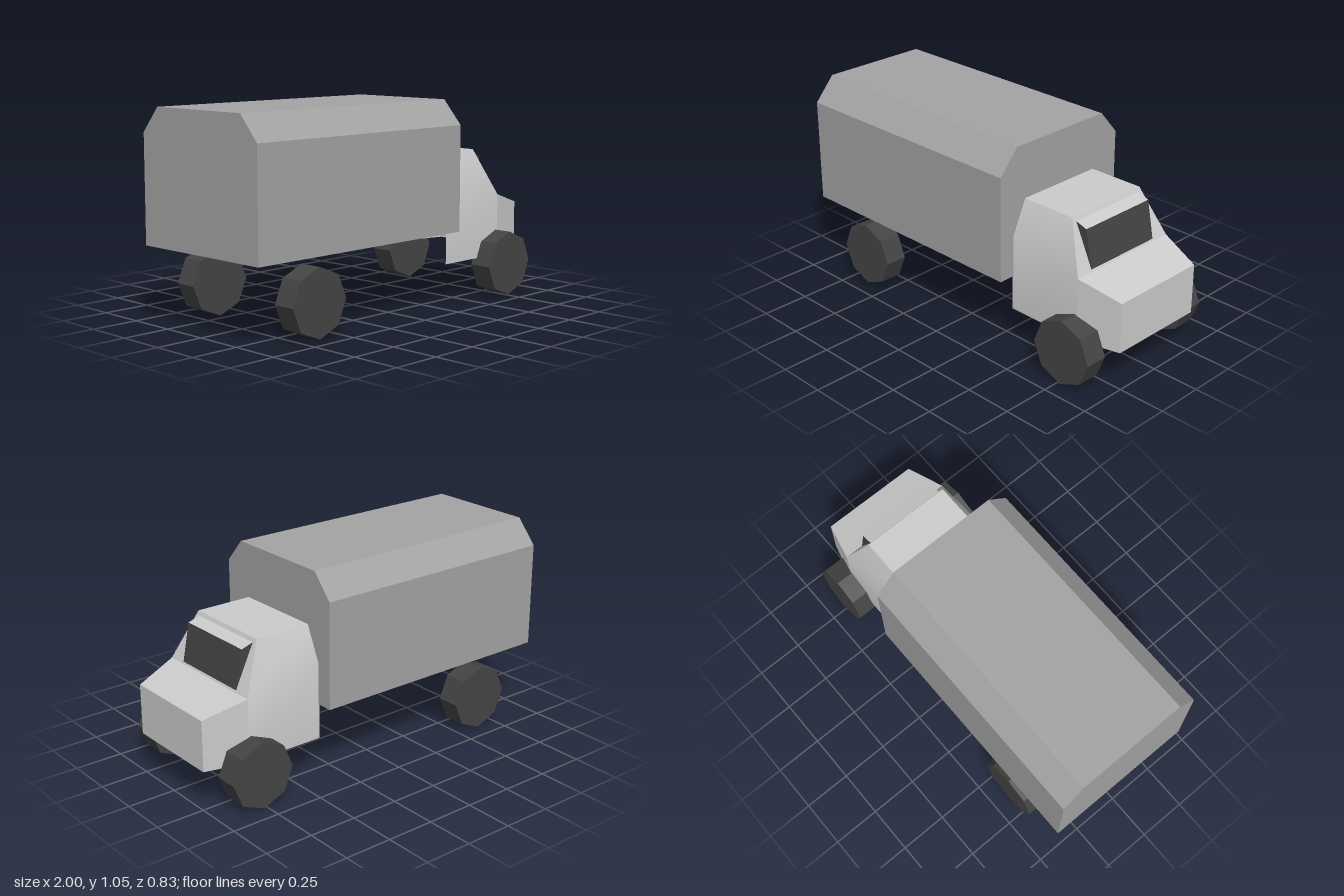
import * as THREE from 'three';
import { toCreasedNormals } from 'three/addons/utils/BufferGeometryUtils.js';

const BODY = 0xa3a3a3, CAB = 0xcccccc, DARK = 0x444444;

// Mirror a face across z = 0, keeping it facing outward
const mirror = (face) => face.map(([x, y, z]) => [x, y, -z]).reverse();
const both = (...faces) => faces.flatMap((f) => [f, mirror(f)]);

// Face spanning the full width: edge a to edge b, each [x, y, halfWidth]
const span = (a, b) => [a, b, [b[0], b[1], -b[2]], [a[0], a[1], -a[2]]];

// Sheet-metal mesh from convex faces
function panels(name, faces, color) {
  const pos = [];
  for (const f of faces)
    for (let i = 1; i < f.length - 1; i++) pos.push(...f[0], ...f[i], ...f[i + 1]);
  const g = new THREE.BufferGeometry();
  g.setAttribute('position', new THREE.Float32BufferAttribute(pos, 3));
  const mesh = new THREE.Mesh(
    toCreasedNormals(g, 0.5),
    new THREE.MeshStandardMaterial({ color, side: THREE.DoubleSide })
  );
  mesh.name = name;
  return mesh;
}

// Cargo box: chamfered roof, closed ends, open underneath
function cargoBox() {
  const x0 = -1, x1 = 0.365;
  const profile = [[0.405, 0.385], [0.405, 0.93], [0.295, 1.055],
    [-0.295, 1.055], [-0.405, 0.93], [-0.405, 0.385]];
  const at = (x) => profile.map(([z, y]) => [x, y, z]);
  const rear = at(x0), front = at(x1);
  const faces = [rear, [...front].reverse()];
  for (let i = 0; i < profile.length - 1; i++)
    faces.push([rear[i], front[i], front[i + 1], rear[i + 1]]);
  return panels('cargoBox', faces, BODY);
}

function cab() {
  const group = new THREE.Group();
  group.name = 'cab';
  const rearLow = [0.36, 0.205, 0.32], rearMid = [0.36, 0.6, 0.32], rearTop = [0.36, 0.775, 0.24];
  const roofFront = [0.665, 0.775, 0.24], cowl = [0.78, 0.53, 0.32], cowlLow = [0.78, 0.205, 0.32];
  const noseTop = [1, 0.465, 0.265], noseLow = [1, 0.205, 0.265];
  const glassLow = [0.775, 0.54, 0.222], glassTop = [0.737, 0.735, 0.222], lipBack = [0.674, 0.755, 0.222];

  group.add(panels('cabShell', [
    ...both([rearLow, cowlLow, cowl, rearMid], [rearMid, cowl, roofFront, rearTop]),
    span(rearTop, roofFront),
  ], CAB));

  // Frame around the window opening
  const outer = span(roofFront, cowl), inner = span(lipBack, glassLow);
  group.add(panels('windshieldFrame', outer.map((p, i) => {
    const j = (i + 1) % 4;
    return [p, outer[j], inner[j], inner[i]];
  }), CAB));

  // Wedge-shaped window standing proud of the frame
  group.add(panels('windshield', [
    span(glassTop, glassLow),
    ...both([lipBack, glassLow, glassTop]),
  ], DARK));
  group.add(panels('windshieldLip', [span(lipBack, glassTop)], CAB));

  // Tapered engine compartment
  group.add(panels('hood', [span(cowl, noseTop)], CAB));
  group.add(panels('noseSides', both([cowlLow, noseLow, noseTop, cowl]), CAB));
  group.add(panels('nosePanel', [span(noseTop, noseLow)], CAB));
  return group;
}

// Eight-sided wheels
function wheels() {
  const group = new THREE.Group();
  group.name = 'wheels';
  const geometry = new THREE.CylinderGeometry(0.17, 0.17, 0.12, 8).rotateX(Math.PI / 2);
  const material = new THREE.MeshStandardMaterial({ color: DARK, flatShading: true });
  for (const [end, x] of [['rear', -0.635], ['front', 0.767]])
    for (const side of [1, -1]) {
      const wheel = new THREE.Mesh(geometry, material);
      wheel.name = `${end}Wheel`;
      wheel.position.set(x, 0.17, side * 0.355);
      group.add(wheel);
    }
  return group;
}

export function createModel() {
  const truck = new THREE.Group();
  truck.name = 'truck';
  truck.add(cargoBox(), cab(), wheels());
  return truck;
}
